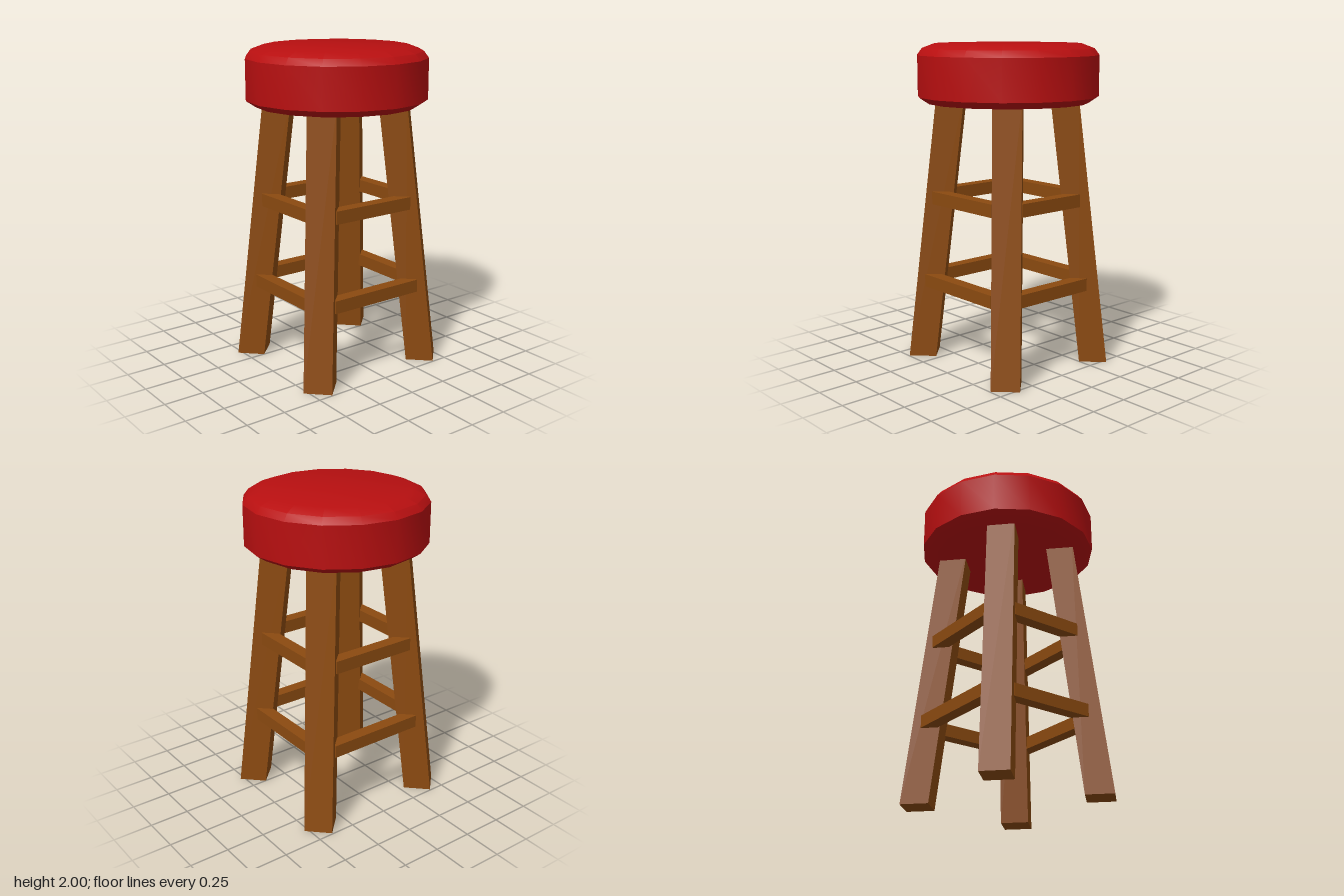
import * as THREE from 'three';
import { toCreasedNormals } from 'three/addons/utils/BufferGeometryUtils.js';

const wood = new THREE.MeshStandardMaterial({ color: 0x8b4a10 });
const leather = new THREE.MeshStandardMaterial({ color: 0xb80f10 });

// Leg centre at a given height: legs lean inward as they rise
const legX = (y) => 0.404 - 0.083 * y;
const legZ = (y) => 0.371 - 0.083 * y;

function addMesh(parent, geometry, material, name) {
  const mesh = new THREE.Mesh(geometry, material);
  mesh.name = name;
  parent.add(mesh);
  return mesh;
}

// Square post turned 45 degrees and sheared toward the centre, ends kept level
function legGeometry(sx, sz) {
  const height = 1.7;
  const geo = new THREE.BoxGeometry(0.173, height, 0.173);
  geo.rotateY(Math.PI / 4).translate(0, height / 2, 0);
  const p = geo.attributes.position;
  for (let i = 0; i < p.count; i++) {
    const y = p.getY(i);
    p.setX(i, p.getX(i) + sx * legX(y));
    p.setZ(i, p.getZ(i) + sz * legZ(y));
  }
  geo.computeVertexNormals();
  return geo;
}

export function createModel() {
  const stool = new THREE.Group();
  stool.name = 'stool';

  // Padded 16-sided seat with bevelled rims
  const profile = [
    [0, 1.64], [0.5, 1.64], [0.56, 1.68], [0.56, 1.93], [0.53, 1.97], [0.45, 2], [0, 2],
  ].map(([r, y]) => new THREE.Vector2(r, y));
  addMesh(stool, toCreasedNormals(new THREE.LatheGeometry(profile, 16), 0.6), leather, 'seat');

  // Four splayed legs
  for (const sx of [-1, 1]) {
    for (const sz of [-1, 1]) {
      const name = (sz > 0 ? 'front' : 'back') + (sx > 0 ? 'Left' : 'Right') + 'Leg';
      addMesh(stool, legGeometry(sx, sz), wood, name);
    }
  }

  // Two levels of rungs: half lengths and outer faces per level
  const t = 0.08;
  const levels = [
    { name: 'lower', y: 0.51, halfX: 0.32, halfZ: 0.275, outX: 0.435, outZ: 0.42 },
    { name: 'upper', y: 1.045, halfX: 0.283, halfZ: 0.24, outX: 0.4, outZ: 0.382 },
  ];
  for (const l of levels) {
    for (const s of [-1, 1]) {
      const across = addMesh(stool, new THREE.BoxGeometry(2 * l.halfX, t, t), wood,
        l.name + (s > 0 ? 'Front' : 'Back') + 'Rung');
      across.position.set(0, l.y, s * (l.outZ - t / 2));
      const side = addMesh(stool, new THREE.BoxGeometry(t, t, 2 * l.halfZ), wood,
        l.name + (s > 0 ? 'Left' : 'Right') + 'Rung');
      side.position.set(s * (l.outX - t / 2), l.y, 0);
    }
  }
  return stool;
}
